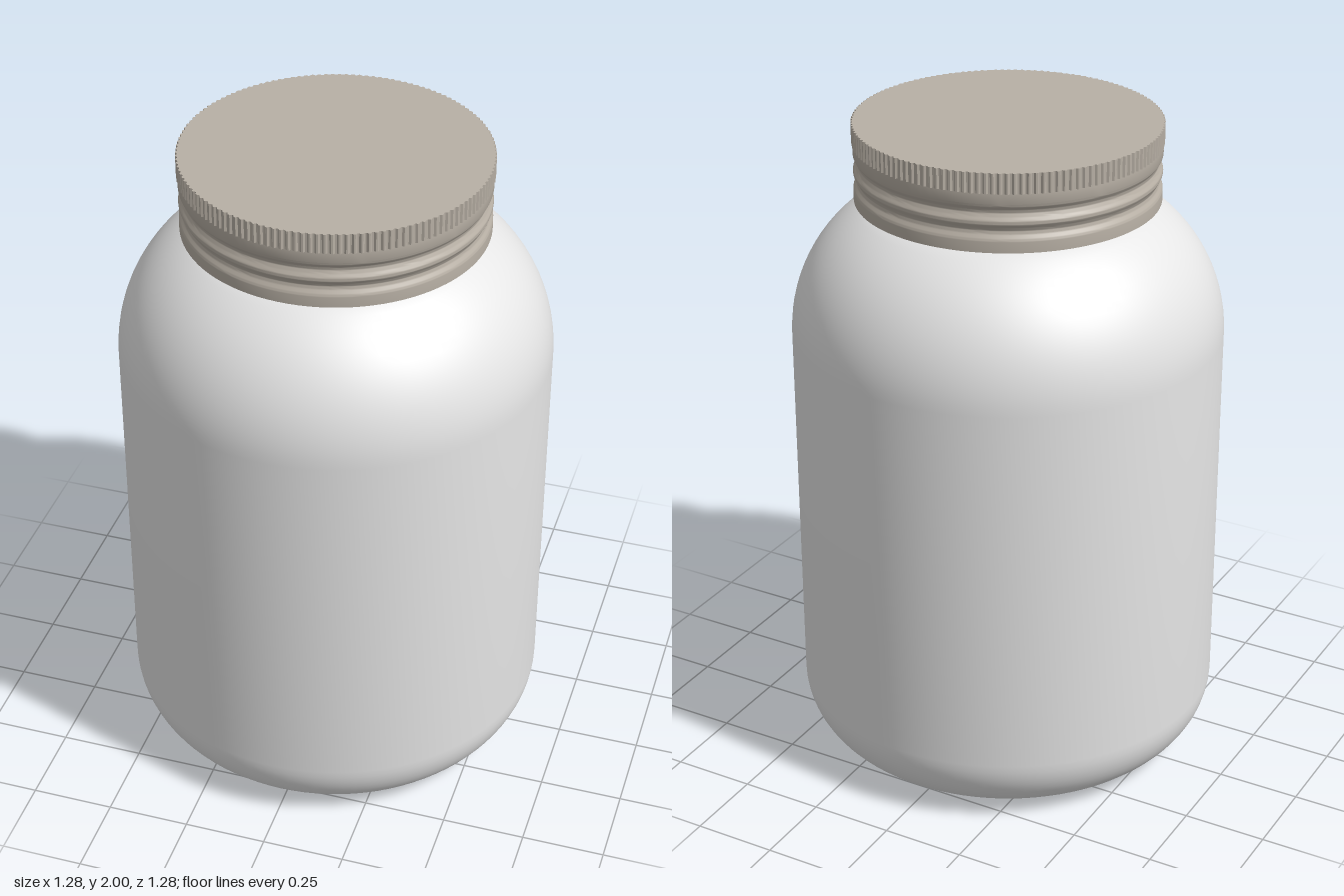
import * as THREE from 'three';
import { toCreasedNormals } from 'three/addons/utils/BufferGeometryUtils.js';

const glass = new THREE.MeshStandardMaterial({ color: 0xe6e6e6 });
glass.name = 'pale glass';
const metal = new THREE.MeshStandardMaterial({ color: 0xb8b0a5 });
metal.name = 'warm grey metal';

// Points along a circular arc of a lathe profile, angles in degrees
function arc(cx, cy, r, from, to, steps) {
  return Array.from({ length: steps + 1 }, (_, i) => {
    const a = THREE.MathUtils.degToRad(from + ((to - from) * i) / steps);
    return new THREE.Vector2(cx + r * Math.cos(a), cy + r * Math.sin(a));
  });
}

function turned(name, points, material) {
  const geometry = toCreasedNormals(new THREE.LatheGeometry(points, 96), 0.5);
  const mesh = new THREE.Mesh(geometry, material);
  mesh.name = name;
  return mesh;
}

export function createModel() {
  const model = new THREE.Group();
  model.name = 'jar';

  // Body: flat base, rounded heel, straight wall, round shoulder, short neck
  model.add(turned('jarBody', [
    new THREE.Vector2(0, 0),
    ...arc(0.425, 0.215, 0.215, -90, 0, 14),
    ...arc(0.19, 1.36, 0.45, 0, 60, 16),
    new THREE.Vector2(0.4, 1.755),
    new THREE.Vector2(0.4, 1.8),
  ], glass));

  const lid = new THREE.Group();
  lid.name = 'lid';
  model.add(lid);

  // Skirt: two shallow rolled grooves above a plain rim
  const skirt = [new THREE.Vector2(0.38, 1.768), new THREE.Vector2(0.447, 1.768)];
  for (let i = 0; i <= 32; i++) {
    const t = i / 32;
    const groove = 0.006 * (1 - Math.cos(t * Math.PI * 4));
    skirt.push(new THREE.Vector2(0.447 - groove, 1.8 + t * 0.11));
  }
  skirt.push(new THREE.Vector2(0.445, 1.942));
  lid.add(turned('lidSkirt', skirt, metal));

  // Cap: flat disc with a finely knurled edge
  const teeth = 140;
  const outline = new THREE.Shape();
  for (let i = 0; i < teeth * 4; i++) {
    const a = (i / (teeth * 4)) * Math.PI * 2;
    const r = i % 4 < 2 ? 0.45 : 0.445;
    outline[i ? 'lineTo' : 'moveTo'](r * Math.cos(a), r * Math.sin(a));
  }
  outline.closePath();
  const capGeometry = new THREE.ExtrudeGeometry(outline, { depth: 0.06, bevelEnabled: false });
  capGeometry.rotateX(-Math.PI / 2);
  const cap = new THREE.Mesh(capGeometry, metal);
  cap.name = 'knurledCap';
  cap.position.y = 1.94;
  lid.add(cap);

  return model;
}
